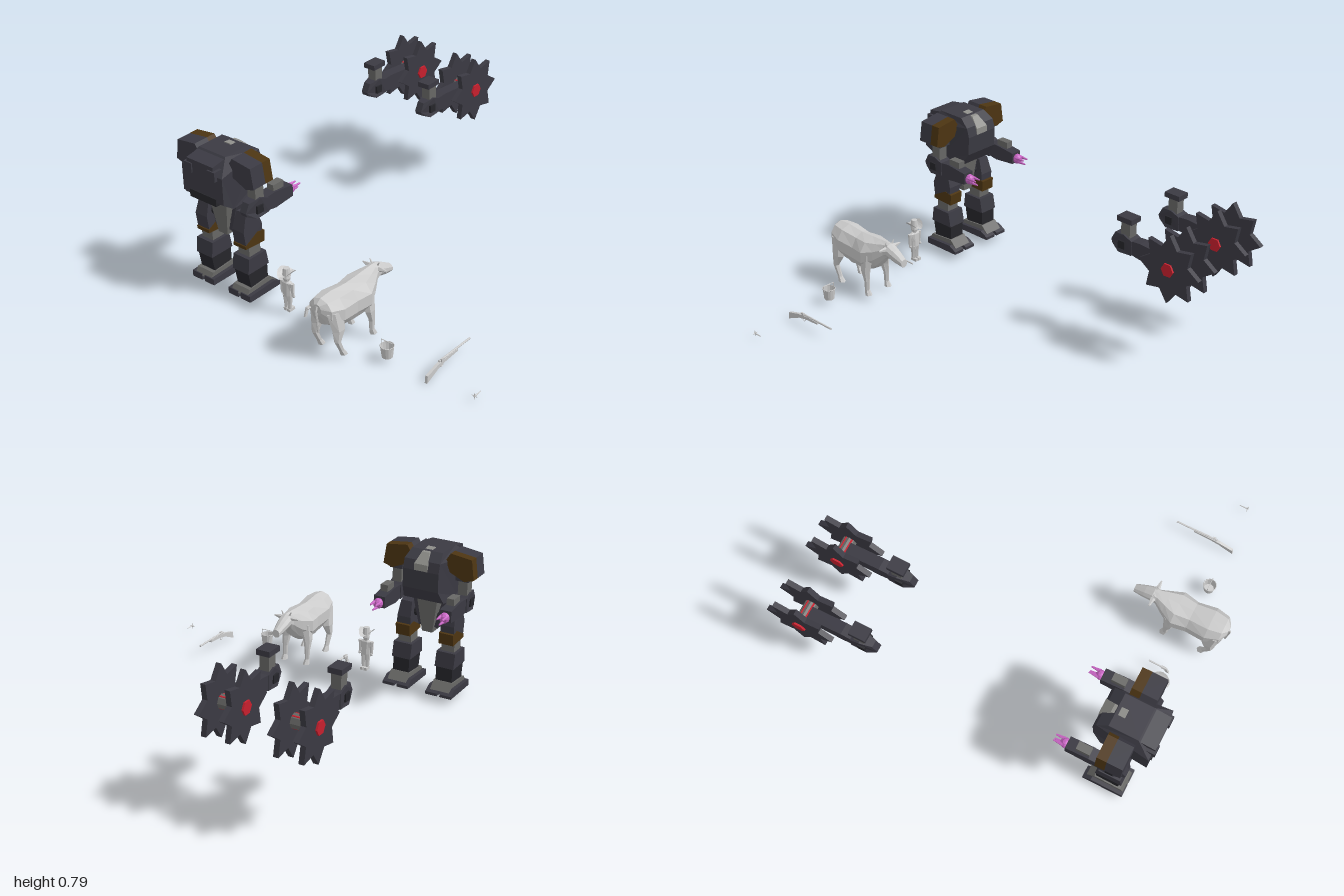
import * as THREE from 'three';

const GREY = 0xcccccc, DARK = 0x3b3a43, BLACK = 0x26262b, STEEL = 0x686866, BROWN = 0x4d3512, RED = 0xc8202e, PINK = 0xc965c4;
const mats = {};
const mat = (c) => (mats[c] ??= new THREE.MeshStandardMaterial({ color: c, flatShading: true, side: THREE.DoubleSide }));

function add(g, name, geo, color, x = 0, y = 0, z = 0) {
  const m = new THREE.Mesh(geo, mat(color));
  m.name = name;
  m.position.set(x, y, z);
  g.add(m);
  return m;
}
function group(parent, name, x = 0, y = 0, z = 0) {
  const g = new THREE.Group();
  g.name = name;
  g.position.set(x, y, z);
  parent.add(g);
  return g;
}
// box given by its y and z ranges
const block = (g, name, color, x, w, y0, y1, z0, z1) =>
  add(g, name, new THREE.BoxGeometry(w, y1 - y0, Math.abs(z1 - z0)), color, x, (y0 + y1) / 2, (z0 + z1) / 2);

const extrude = (pts, depth) =>
  new THREE.ExtrudeGeometry(new THREE.Shape(pts.map((p) => new THREE.Vector2(...p))), { depth, bevelEnabled: false });

// side profile of [z, y] points, given width in x; widthAt(y, z) narrows it
function slab(g, name, color, pts, x, w, widthAt) {
  const geo = extrude(pts, w).rotateY(-Math.PI / 2).translate(w / 2, 0, 0);
  if (widthAt) {
    const p = geo.attributes.position;
    for (let i = 0; i < p.count; i++) p.setX(i, p.getX(i) * widthAt(p.getY(i), p.getZ(i)));
    geo.computeVertexNormals();
  }
  return add(g, name, geo, color, x);
}
// skin over elliptical rings [x, y, z, rx, r2]; rings lie across z or across y
function loft(g, name, color, rings, n, across) {
  const pos = [], idx = [];
  for (const [x, y, z, rx, r2] of rings)
    for (let i = 0; i < n; i++) {
      const a = ((i + 0.5) / n) * Math.PI * 2, u = Math.cos(a) * rx, v = Math.sin(a) * r2;
      pos.push(x + u, across === 'z' ? y + v : y, across === 'z' ? z : z + v);
    }
  const last = (rings.length - 1) * n;
  for (let r = 0; r < last; r += n)
    for (let i = 0; i < n; i++) {
      const j = (i + 1) % n;
      idx.push(r + i, r + n + i, r + j, r + j, r + n + i, r + n + j);
    }
  for (let i = 1; i < n - 1; i++) idx.push(0, i, i + 1, last, last + i + 1, last + i);
  // rings run towards -z or -y; flip for outward faces
  if (across === 'z') for (let i = 0; i < idx.length; i += 3) if (i < (rings.length - 1) * n * 6) [idx[i + 1], idx[i + 2]] = [idx[i + 2], idx[i + 1]];
  const geo = new THREE.BufferGeometry();
  geo.setAttribute('position', new THREE.Float32BufferAttribute(pos, 3));
  geo.setIndex(idx);
  geo.computeVertexNormals();
  return add(g, name, geo, color);
}
const rod = (g, name, color, r, len, x, y, z, axis = 'z', sides = 8, r2 = r) => {
  const geo = new THREE.CylinderGeometry(r2, r, len, sides);
  if (axis === 'z') geo.rotateX(-Math.PI / 2);
  if (axis === 'x') geo.rotateZ(Math.PI / 2);
  return add(g, name, geo, color, x, y, z);
};

// bent arm: shoulder joint, upper arm, elbow and forearm reaching to -z
function arm(parent, name, x, z, reach) {
  const g = group(parent, name, x, 0, z);
  block(g, 'shoulderJoint', DARK, 0, 0.07, 0.65, 0.677, -0.045, 0.045);
  block(g, 'upperArm', STEEL, 0, 0.05, 0.57, 0.65, -0.03, 0.025);
  slab(g, 'elbow', DARK, [[0.088, 0.53], [0.065, 0.575], [0, 0.585], [-0.05, 0.565], [-0.05, 0.49], [0.03, 0.485], [0.08, 0.51]], 0, 0.07, (y, zz) => (zz > 0.05 ? 0.55 : 1));
  block(g, 'elbowPin', BLACK, 0, 0.08, 0.51, 0.55, -0.01, 0.03);
  slab(g, 'forearm', DARK, [[-0.04, 0.565], [-0.1, 0.57], [reach, 0.555], [reach, 0.495], [-0.1, 0.485], [-0.04, 0.495]], 0, 0.062);
  return g;
}

function walker(parent) {
  const g = group(parent, 'walker', -0.61);
  // body
  slab(g, 'torso', DARK, [[0.72, 0.79], [0.87, 0.79], [0.945, 0.72], [0.945, 0.58], [0.865, 0.52], [0.7, 0.53], [0.655, 0.6], [0.65, 0.7], [0.665, 0.75]], 0, 0.26,
    (y, z) => (y > 0.77 ? 0.65 : y < 0.56 ? 0.85 : z < 0.67 ? 0.75 : 1));
  block(g, 'backPlate', BLACK, 0, 0.17, 0.56, 0.6, 0.9, 0.95);
  slab(g, 'backpack', DARK, [[0.86, 0.785], [0.955, 0.77], [0.955, 0.7], [0.86, 0.7]], 0, 0.17);
  for (const s of [-1, 1]) block(g, 'backPod', DARK, s * 0.075, 0.05, 0.7, 0.75, 0.9, 0.962);
  slab(g, 'canopy', 0x8f8f8b, [[0.77, 0.795], [0.7, 0.785], [0.65, 0.735], [0.65, 0.7], [0.77, 0.72]], 0, 0.075, (y) => (y > 0.78 ? 0.55 : 1));
  // hips
  slab(g, 'pelvis', STEEL, [[0.86, 0.53], [0.74, 0.53], [0.76, 0.335], [0.84, 0.335]], 0, 0.115, (y) => (y < 0.4 ? 0.5 : 1));
  rod(g, 'hipAxle', BLACK, 0.025, 0.22, 0, 0.42, 0.8, 'x');
  for (const s of [-1, 1]) {
    const strut = block(g, 'hipStrut', DARK, s * 0.063, 0.02, 0.36, 0.52, 0.77, 0.83);
    strut.rotation.z = -s * 0.25;
    // shoulder armour with a coloured front
    const pts = [[0.25, 0.67], [0.235, 0.775], [0.12, 0.79], [0.095, 0.75], [0.12, 0.69], [0.2, 0.655]].map(([u, y]) => [s * u, y]);
    add(g, 'shoulderArmour', extrude(pts, 0.08), DARK, 0, 0, 0.785);
    add(g, 'shoulderFront', extrude(pts, 0.05), BROWN, 0, 0, 0.735);
    // arm and claw
    const a = arm(g, 'arm', s * 0.183, 0.79, -0.22);
    block(a, 'forearmPod', STEEL, 0, 0.04, 0.565, 0.6, -0.17, -0.1);
    add(a, 'clawPalm', new THREE.SphereGeometry(0.027, 8, 6), PINK, 0, 0.52, -0.23);
    for (let i = 0; i < 3; i++) {
      const t = (i / 3) * Math.PI * 2 + Math.PI / 6;
      rod(a, 'clawFinger', PINK, 0.01, 0.05, Math.cos(t) * 0.017, 0.52 + Math.sin(t) * 0.017, -0.262, 'z', 6, 0.004);
    }
    // leg
    const l = group(g, 'leg', s * 0.122);
    slab(l, 'thigh', DARK, [[0.83, 0.49], [0.76, 0.48], [0.735, 0.4], [0.74, 0.32], [0.85, 0.32], [0.86, 0.4]], 0, 0.076, (y) => (y > 0.45 ? 0.8 : 1));
    slab(l, 'kneePlate', BROWN, [[0.855, 0.325], [0.855, 0.308], [0.73, 0.3], [0.725, 0.36], [0.77, 0.37]], 0, 0.08);
    block(l, 'kneeJoint', STEEL, 0, 0.072, 0.25, 0.31, 0.755, 0.83);
    slab(l, 'upperShin', DARK, [[0.85, 0.255], [0.735, 0.255], [0.72, 0.175], [0.86, 0.175]], 0, 0.104);
    slab(l, 'lowerShin', BLACK, [[0.855, 0.175], [0.725, 0.175], [0.725, 0.085], [0.84, 0.085]], 0, 0.09);
    slab(l, 'ankle', STEEL, [[0.86, 0.09], [0.72, 0.1], [0.68, 0.06], [0.88, 0.06]], 0, 0.105);
    for (const t of [-1, 1]) slab(l, 'toe', DARK, [[0.88, 0.068], [0.71, 0.075], [0.665, 0.05], [0.665, 0.035], [0.88, 0.035]], t * 0.04, 0.064);
  }
}

// arm carrying a pair of eight-pointed saw blades
function sawArm(parent, x) {
  const g = arm(parent, 'sawArm', x, -0.515, -0.29);
  const star = Array.from({ length: 16 }, (_, i) => {
    const a = (i / 16) * Math.PI * 2, r = i % 2 ? 0.12 : 0.178;
    return [Math.cos(a) * r, 0.525 + Math.sin(a) * r];
  });
  for (const s of [-1, 1]) slab(g, 'sawBlade', DARK, star, s * 0.062, 0.027).position.z = -0.307;
  rod(g, 'axle', STEEL, 0.036, 0.12, 0, 0.525, -0.307, 'x');
  rod(g, 'hub', RED, 0.036, 0.17, 0, 0.525, -0.307, 'x', 6);
}

function cow(parent) {
  const g = group(parent, 'cow', 0.125);
  loft(g, 'body', GREY, [
    [0, 0.285, 0.995, 0.025, 0.03], [0, 0.265, 0.97, 0.07, 0.07], [0, 0.245, 0.9, 0.09, 0.093], [0, 0.23, 0.8, 0.078, 0.097],
    [0, 0.235, 0.72, 0.094, 0.095], [0, 0.255, 0.66, 0.064, 0.078], [0, 0.285, 0.61, 0.036, 0.05],
    [0, 0.296, 0.585, 0.038, 0.038], [0, 0.278, 0.54, 0.032, 0.034], [0, 0.256, 0.485, 0.021, 0.022]], 10, 'z');
  for (const s of [-1, 1]) {
    loft(g, 'hindLeg', GREY, [[s * 0.05, 0.27, 0.93, 0.03, 0.055], [s * 0.063, 0.17, 0.925, 0.026, 0.04], [s * 0.068, 0.11, 0.94, 0.015, 0.018],
      [s * 0.068, 0.05, 0.915, 0.012, 0.014], [s * 0.068, 0.022, 0.9, 0.018, 0.02]], 6, 'y');
    loft(g, 'frontLeg', GREY, [[s * 0.05, 0.25, 0.71, 0.032, 0.045], [s * 0.065, 0.16, 0.71, 0.022, 0.03], [s * 0.068, 0.1, 0.7, 0.014, 0.016],
      [s * 0.068, 0.05, 0.7, 0.012, 0.014], [s * 0.068, 0.022, 0.69, 0.018, 0.02]], 6, 'y');
    const ear = rod(g, 'ear', GREY, 0.014, 0.045, s * 0.05, 0.31, 0.592, 'y', 5, 0.004);
    ear.rotation.z = -s * 1.5;
    rod(g, 'horn', GREY, 0.007, 0.03, s * 0.022, 0.333, 0.592, 'y', 5, 0.002).rotation.z = -s * 0.5;
  }
  add(g, 'udder', new THREE.SphereGeometry(0.03, 7, 5), GREY, 0, 0.15, 0.87);
  const path = new THREE.CatmullRomCurve3([[0, 0.31, 0.98], [0, 0.29, 1.0], [0, 0.22, 0.995], [0, 0.16, 0.99]].map((p) => new THREE.Vector3(...p)));
  add(g, 'tail', new THREE.TubeGeometry(path, 8, 0.006, 5), GREY);
}

function person(parent) {
  const g = group(parent, 'person', -0.243, 0, 0.8);
  // wide brim, sides rolled up
  const brim = new THREE.CylinderGeometry(1, 1, 0.004, 14, 1).scale(0.039, 1, 0.052);
  const disc = new THREE.RingGeometry(0.005, 1, 14, 4).rotateX(-Math.PI / 2).scale(0.039, 1, 0.052), p = disc.attributes.position;
  for (let i = 0; i < p.count; i++) p.setY(i, (p.getX(i) / 0.039) ** 2 * 0.032);
  brim.dispose();
  add(g, 'hatBrim', disc, GREY, 0, 0.226);
  rod(g, 'hatCrown', GREY, 0.022, 0.04, 0, 0.244, 0, 'y', 10, 0.016);
  add(g, 'head', new THREE.SphereGeometry(0.02, 8, 6).scale(0.9, 1.2, 1), GREY, 0, 0.21);
  loft(g, 'torso', GREY, [[0, 0.193, 0, 0.014, 0.012], [0, 0.185, 0, 0.033, 0.017], [0, 0.14, 0, 0.026, 0.019], [0, 0.11, 0, 0.027, 0.019]], 8, 'y');
  for (const s of [-1, 1]) {
    rod(g, 'arm', GREY, 0.007, 0.07, s * 0.034, 0.152, 0, 'y', 6, 0.01);
    add(g, 'hand', new THREE.SphereGeometry(0.008, 6, 5), GREY, s * 0.035, 0.115, -0.004);
    loft(g, 'leg', GREY, [[s * 0.012, 0.115, 0, 0.015, 0.018], [s * 0.011, 0.07, 0, 0.011, 0.013], [s * 0.011, 0.03, 0, 0.009, 0.01]], 6, 'y');
    block(g, 'boot', GREY, s * 0.011, 0.017, 0.025, 0.04, -0.026, 0.012);
  }
}

function props(parent) {
  const pistol = group(parent, 'pistol', -0.13);
  rod(pistol, 'barrel', GREY, 0.004, 0.075, 0, 0.078, 0.735);
  rod(pistol, 'drum', GREY, 0.008, 0.026, 0, 0.075, 0.78);
  slab(pistol, 'grip', GREY, [[0.77, 0.085], [0.796, 0.085], [0.812, 0.038], [0.798, 0.035], [0.785, 0.065], [0.77, 0.065]], 0, 0.009);

  const bucket = group(parent, 'bucket', 0.368, 0, 0.8);
  add(bucket, 'pail', new THREE.CylinderGeometry(0.033, 0.026, 0.06, 14, 1, true), GREY, 0, 0.058);
  rod(bucket, 'base', GREY, 0.026, 0.004, 0, 0.03, 0, 'y', 14);
  add(bucket, 'rim', new THREE.TorusGeometry(0.033, 0.002, 5, 14).rotateX(Math.PI / 2), GREY, 0, 0.088);
  for (const s of [-1, 1]) rod(bucket, 'handleSide', GREY, 0.002, 0.032, s * 0.032, 0.095, 0, 'y', 5);
  rod(bucket, 'handleTop', GREY, 0.002, 0.066, 0, 0.11, 0, 'x', 5);

  const rifle = group(parent, 'rifle', 0.612);
  slab(rifle, 'stock', GREY, [[0.825, 0.002], [0.82, 0.04], [0.745, 0.06], [0.67, 0.068], [0.6, 0.066], [0.6, 0.056], [0.69, 0.05], [0.74, 0.04]], 0, 0.014);
  rod(rifle, 'barrel', GREY, 0.005, 0.23, 0, 0.069, 0.615);
  add(rifle, 'triggerGuard', new THREE.TorusGeometry(0.011, 0.002, 4, 10).rotateY(Math.PI / 2), GREY, 0, 0.042, 0.71);
  block(rifle, 'hammer', GREY, 0.004, 0.008, 0.06, 0.078, 0.705, 0.72);

  const spike = group(parent, 'crossedSpike', 0.86, 0.03);
  rod(spike, 'shaft', GREY, 0.004, 0.05, 0, 0, 0.772, 'z', 6, 0.002);
  for (let i = 0; i < 4; i++) {
    const a = (i * Math.PI) / 2;
    rod(spike, 'point', GREY, 0.004, 0.016, -Math.sin(a) * 0.009, Math.cos(a) * 0.009, 0.793, 'y', 4, 0.001).rotation.z = a;
  }
}

export function createModel() {
  const model = new THREE.Group();
  model.name = 'model';
  walker(model);
  for (const x of [-0.795, -0.43]) sawArm(model, x);
  person(model);
  cow(model);
  props(model);
  return model;
}
